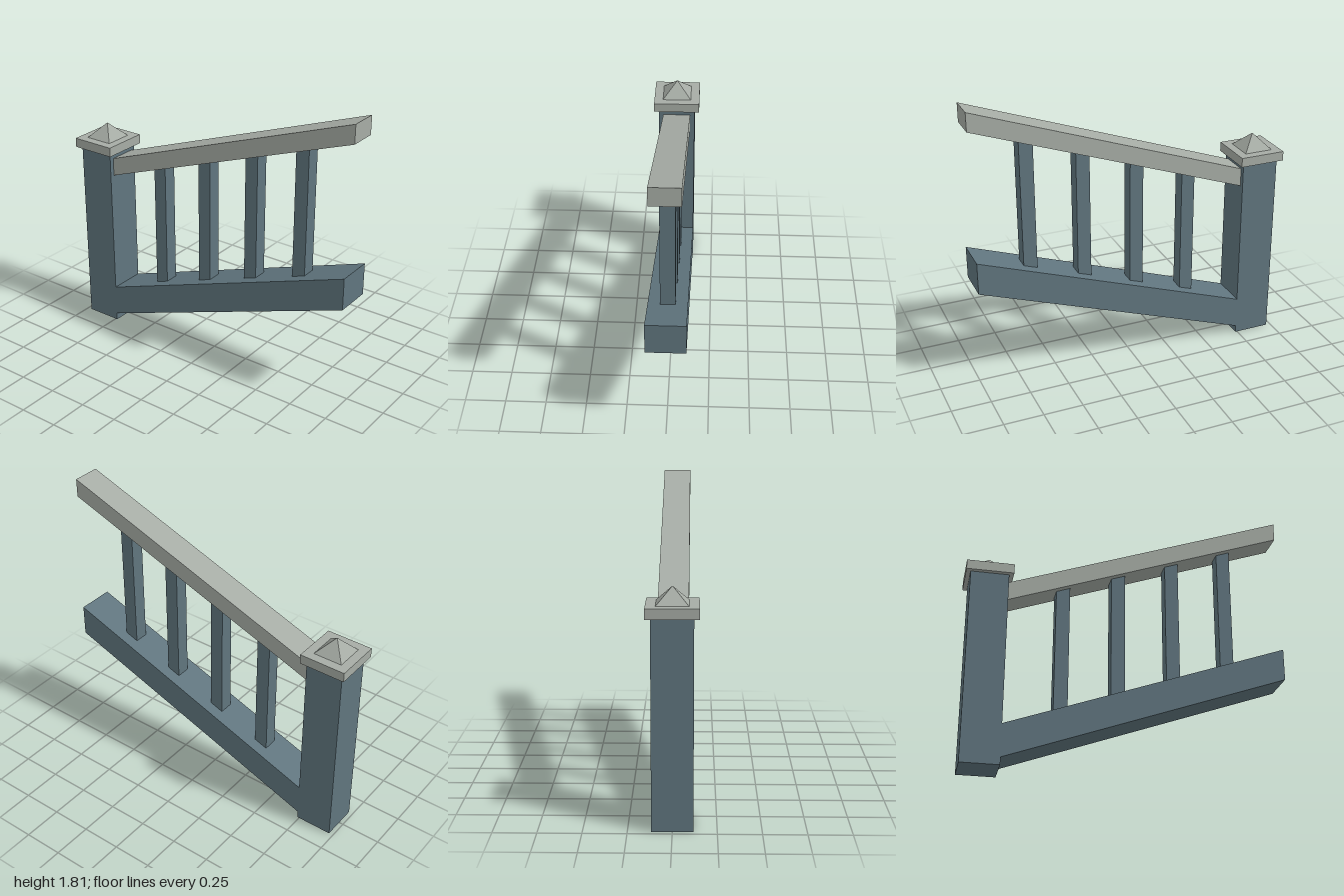
import * as THREE from 'three';

export function createModel() {
  const group = new THREE.Group();
  const blue = new THREE.MeshStandardMaterial({ color: 0x60757e });
  blue.name = 'slate blue paint';
  const grey = new THREE.MeshStandardMaterial({ color: 0xa6aca5 });
  grey.name = 'pale grey paint';

  const postX = -0.855, startX = -0.74, endX = 1;
  const slope = 0.363;
  const rise = (x) => slope * (x - startX);

  const add = (name, geometry, material, x = 0, y = 0, z = 0) => {
    const mesh = new THREE.Mesh(geometry, material);
    mesh.name = name;
    mesh.position.set(x, y, z);
    group.add(mesh);
    return mesh;
  };

  // Bar with vertical ends whose bottom and top edges follow the stair slope
  const slopedBar = (name, material, x0, x1, bottom, top, depth) => {
    const shape = new THREE.Shape([
      new THREE.Vector2(x0, bottom + rise(x0)),
      new THREE.Vector2(x1, bottom + rise(x1)),
      new THREE.Vector2(x1, top + rise(x1)),
      new THREE.Vector2(x0, top + rise(x0)),
    ]);
    const geometry = new THREE.ExtrudeGeometry(shape, { depth, bevelEnabled: false });
    geometry.translate(0, 0, -depth / 2);
    return add(name, geometry, material);
  };

  // Newel post with its cap and pyramid finial
  add('newelPost', new THREE.BoxGeometry(0.235, 1.215, 0.235), blue, postX, 0.6075);
  add('postCap', new THREE.BoxGeometry(0.29, 0.06, 0.294), grey, postX, 1.245);
  const pyramid = new THREE.ConeGeometry(0.182 / Math.SQRT2, 0.095, 4, 1).toNonIndexed();
  pyramid.rotateY(Math.PI / 4);
  pyramid.computeVertexNormals();
  add('capPyramid', pyramid, grey, postX, 1.3225);

  // Sloping base and handrail
  slopedBar('baseRail', blue, startX, endX, 0.046, 0.25, 0.235);
  slopedBar('handrail', grey, startX, endX, 1.06, 1.177, 0.176);

  // Balusters, cut to the slope at both ends
  for (let i = 0; i < 4; i++) {
    const x = -0.391 + i * 0.347;
    slopedBar('baluster' + (i + 1), blue, x - 0.043, x + 0.043, 0.25, 1.06, 0.09);
  }

  return group;
}
